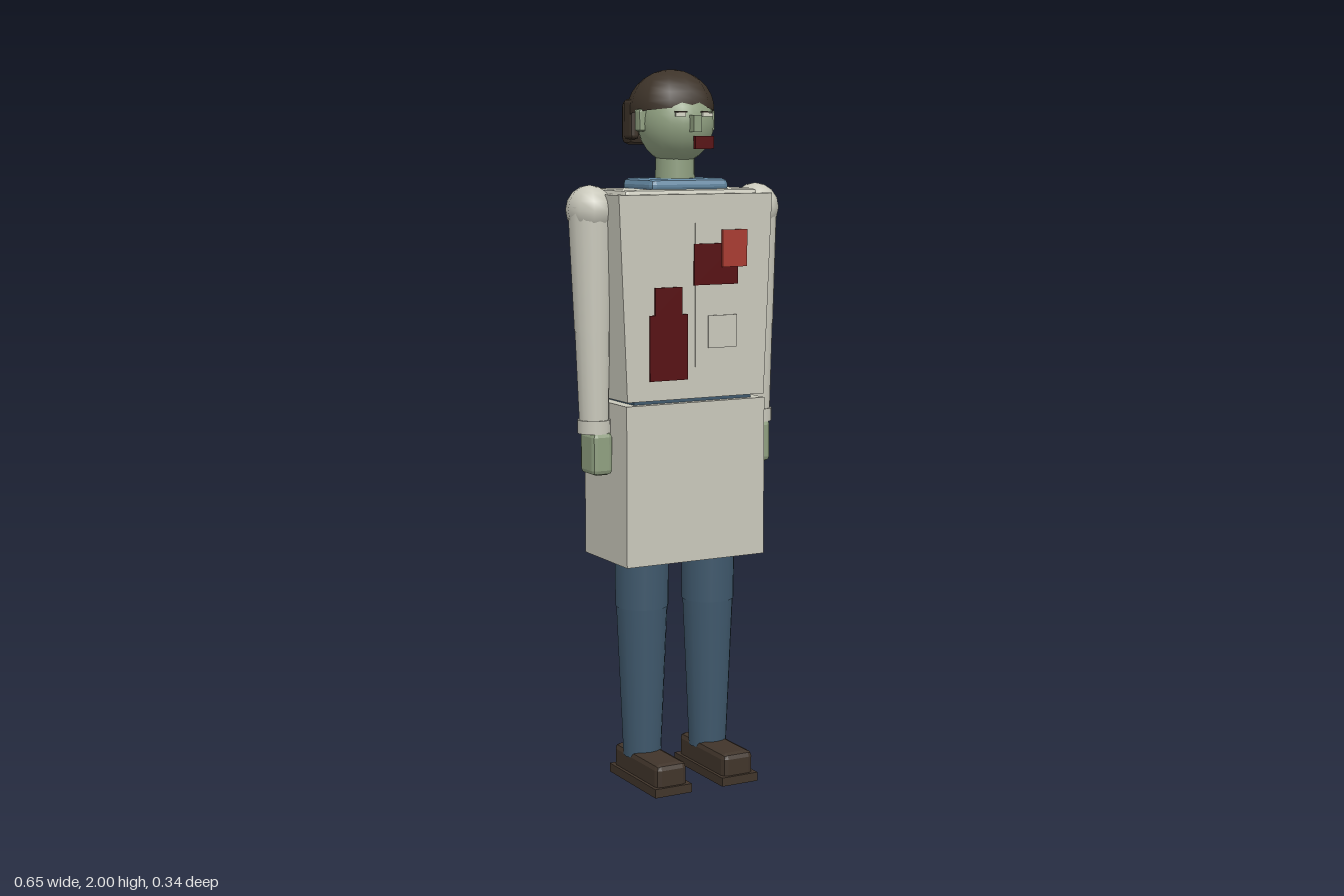
import * as THREE from 'three';
import { RoundedBoxGeometry } from 'three/addons/geometries/RoundedBoxGeometry.js';

const mat = (name, color) => {
  const m = new THREE.MeshStandardMaterial({ color });
  m.name = name;
  return m;
};

export function createModel() {
  const root = new THREE.Group();
  root.name = 'coatedFigure';
  const coat = mat('coat cloth', 0xc9c8bb);
  const skin = mat('green skin', 0x8f9f80);
  const hair = mat('dark hair', 0x3d3329);
  const shoe = mat('shoe leather', 0x40342a);
  const trousers = mat('trouser blue', 0x3f586c);
  const shirt = mat('shirt blue', 0x6488a2);
  const darkRed = mat('dried stain', 0x560d10);
  const red = mat('fresh stain', 0xa83a30);
  const pale = mat('pale eye', 0xd8d8c8);

  const add = (name, geo, material, x = 0, y = 0, z = 0, parent = root) => {
    const m = new THREE.Mesh(geo, material);
    m.name = name;
    m.position.set(x, y, z);
    parent.add(m);
    return m;
  };
  // Box given by its limits on each axis
  const box = (name, material, [x0, x1], [y0, y1], [z0, z1], parent) =>
    add(name, new THREE.BoxGeometry(x1 - x0, y1 - y0, z1 - z0), material,
      (x0 + x1) / 2, (y0 + y1) / 2, (z0 + z1) / 2, parent);
  // Same, with flat chamfered edges
  const chamfer = (name, material, [x0, x1], [y0, y1], [z0, z1], r, parent) => {
    const g = new RoundedBoxGeometry(x1 - x0, y1 - y0, z1 - z0, 1, r);
    g.computeVertexNormals();
    return add(name, g, material, (x0 + x1) / 2, (y0 + y1) / 2, (z0 + z1) / 2, parent);
  };
  // Tapered limb between two points
  const limb = (name, material, a, b, ra, rb, parent, sides = 16) => {
    const A = new THREE.Vector3(...a), B = new THREE.Vector3(...b);
    const dir = A.clone().sub(B);
    const m = add(name, new THREE.CylinderGeometry(ra, rb, dir.length(), sides), material, 0, 0, 0, parent);
    m.position.copy(A).add(B).multiplyScalar(0.5);
    m.quaternion.setFromUnitVectors(new THREE.Vector3(0, 1, 0), dir.normalize());
    return m;
  };

  // Coat: tapered upper body and straight skirt
  const upper = new THREE.BoxGeometry(0.478, 0.56, 0.261);
  const p = upper.attributes.position;
  for (let i = 0; i < p.count; i++) if (p.getY(i) < 0) p.setX(i, p.getX(i) * 0.9);
  upper.computeVertexNormals();
  add('coatUpper', upper, coat, 0, 1.383, -0.0255);
  box('coatSkirt', coat, [-0.218, 0.218], [0.645, 1.092], [-0.153, 0.105]);
  chamfer('shoulderYoke', coat, [-0.208, 0.208], [1.5, 1.676], [-0.128, 0.08], 0.012);
  box('waist', trousers, [-0.185, 0.185], [1.0, 1.15], [-0.12, 0.085]);
  box('placket', coat, [-0.006, 0.006], [1.19, 1.585], [0.104, 0.108]);
  box('pocket', coat, [0.035, 0.125], [1.24, 1.33], [0.104, 0.109]);

  // Stains on the coat front
  box('stainLow', darkRed, [-0.148, -0.03], [1.157, 1.337], [0.104, 0.110]);
  box('stainLowTop', darkRed, [-0.132, -0.048], [1.337, 1.412], [0.104, 0.110]);
  box('stainChest', darkRed, [-0.01, 0.127], [1.415, 1.528], [0.104, 0.110]);
  box('stainFresh', red, [0.075, 0.152], [1.463, 1.565], [0.109, 0.118]);

  // Collar and neck
  chamfer('collar', shirt, [-0.122, 0.122], [1.665, 1.704], [-0.108, 0.072], 0.016);
  limb('neck', skin, [0, 1.80, -0.02], [0, 1.68, -0.02], 0.053, 0.056, root);

  // Head
  const head = new THREE.Group();
  head.name = 'head';
  root.add(head);
  add('skull', new THREE.SphereGeometry(0.105, 20, 14), skin, 0, 1.852, -0.016, head).scale.set(1, 1.04, 1.02);
  box('nose', skin, [-0.013, 0.013], [1.83, 1.876], [0.07, 0.11], head);
  box('mouth', darkRed, [-0.005, 0.053], [1.785, 1.82], [0.095, 0.104], head);
  for (const s of [-1, 1]) {
    const side = s < 0 ? 'right' : 'left';
    const span = (a, b) => (s > 0 ? [a, b] : [-b, -a]);
    box(side + 'Eye', pale, span(0.026, 0.057), [1.872, 1.882], [0.083, 0.091], head);
    box(side + 'Brow', hair, span(0.024, 0.057), [1.883, 1.886], [0.082, 0.094], head);
    chamfer(side + 'Ear', skin, span(0.095, 0.119), [1.832, 1.892], [-0.036, -0.004], 0.006, head);
    chamfer(side + 'HairSide', hair, span(0.085, 0.112), [1.81, 1.92], [-0.118, -0.066], 0.01, head);
  }
  // Hair cap, tipped slightly back
  const capMat = hair.clone();
  capMat.side = THREE.DoubleSide;
  const cap = add('hairCap', new THREE.SphereGeometry(0.122, 12, 8, 0, Math.PI * 2, 0, Math.PI * 0.53),
    capMat, 0, 1.892, -0.045, head);
  cap.scale.set(0.98, 0.89, 1.02);
  cap.rotation.x = -0.12;
  chamfer('hairBack', hair, [-0.107, 0.107], [1.795, 1.92], [-0.148, -0.085], 0.02, head);

  // Arms and legs
  for (const s of [-1, 1]) {
    const side = s < 0 ? 'right' : 'left';
    const arm = new THREE.Group();
    arm.name = side + 'Arm';
    root.add(arm);
    add('shoulder', new THREE.SphereGeometry(0.068, 10, 8), coat, s * 0.262, 1.62, -0.025, arm)
      .scale.set(0.95, 1, 1.08);
    limb('upperArm', coat, [s * 0.262, 1.63, -0.022], [s * 0.261, 1.29, -0.015], 0.061, 0.049, arm);
    limb('forearm', coat, [s * 0.261, 1.295, -0.015], [s * 0.259, 1.04, -0.011], 0.048, 0.041, arm);
    limb('cuff', coat, [s * 0.259, 1.047, -0.011], [s * 0.259, 1.01, -0.011], 0.046, 0.046, arm);
    const cx = s * 0.253;
    chamfer('hand', skin, [cx - 0.031, cx + 0.031], [0.895, 1.015], [-0.055, 0.035], 0.014, arm);

    const leg = new THREE.Group();
    leg.name = side + 'Leg';
    root.add(leg);
    const x = s * 0.107;
    limb('thigh', trousers, [x, 0.95, -0.02], [x, 0.505, -0.02], 0.08, 0.075, leg);
    limb('shin', trousers, [x, 0.51, -0.02], [x, 0.07, -0.02], 0.073, 0.054, leg);
    box('sole', shoe, [x - 0.058, x + 0.058], [0, 0.025], [-0.112, 0.168], leg);
    chamfer('shoeUpper', shoe, [x - 0.049, x + 0.049], [0.01, 0.088], [-0.104, 0.16], 0.016, leg);
  }
  return root;
}
